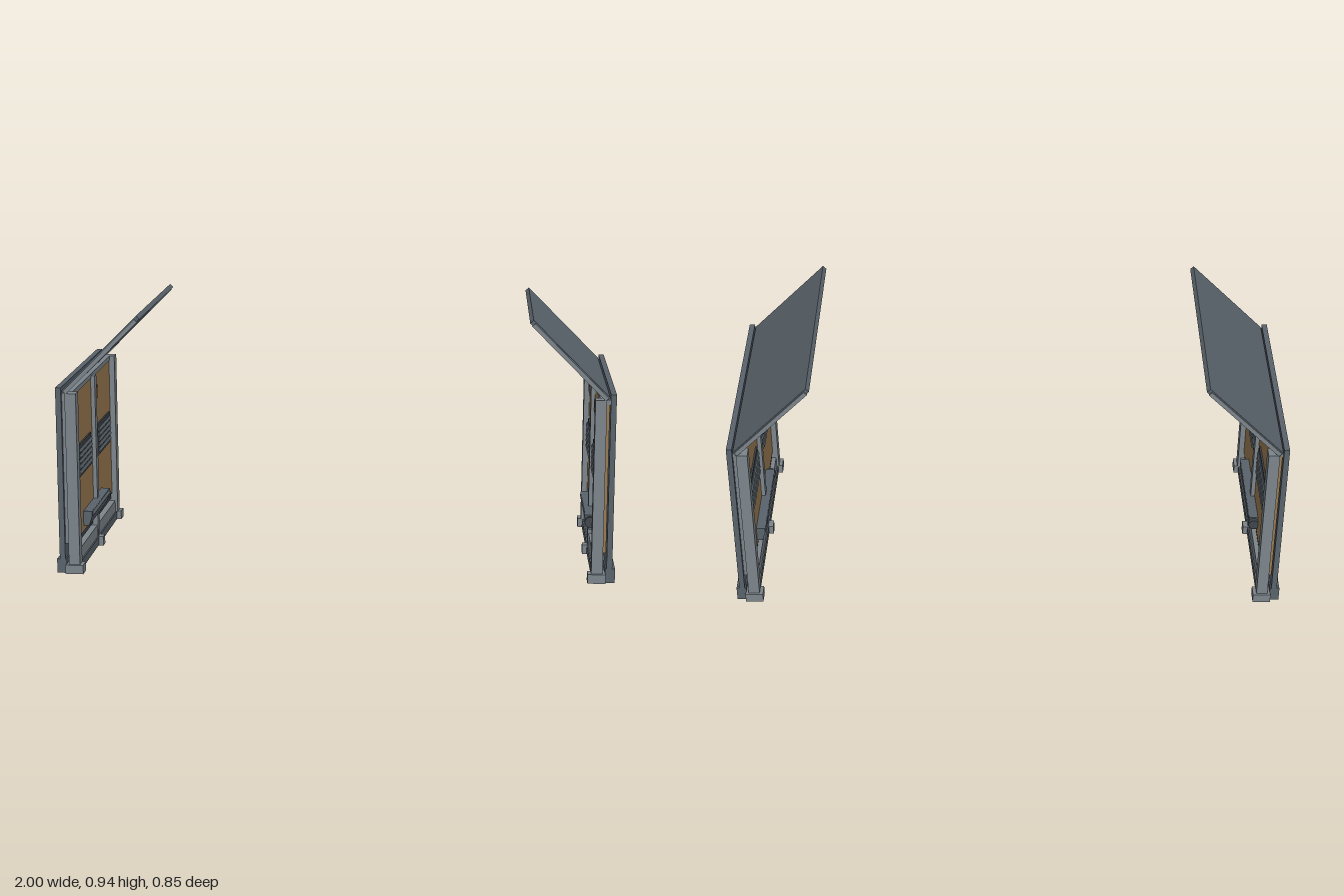
import * as THREE from 'three';

const mat = (name, color) => {
  const m = new THREE.MeshStandardMaterial({ color });
  m.name = name;
  return m;
};

export function createModel() {
  const slate = mat('slatePanel', 0x59636b);
  const steel = mat('steelFrame', 0x7c858b);
  const tan = mat('tanLining', 0x9a7a52);
  const dark = mat('darkVent', 0x3f464c);

  // Box given by its limits on each axis
  const box = (parent, name, m, [x0, x1], [y0, y1], [z0, z1]) => {
    const mesh = new THREE.Mesh(new THREE.BoxGeometry(x1 - x0, y1 - y0, z1 - z0), m);
    mesh.position.set((x0 + x1) / 2, (y0 + y1) / 2, (z0 + z1) / 2);
    mesh.name = name;
    parent.add(mesh);
    return mesh;
  };

  // One wall on the +x side, its lined face turned to -x
  function buildWall() {
    const wall = new THREE.Group();
    box(wall, 'outerPanel', slate, [0.97, 0.99], [0.05, 0.683], [-0.41, 0.41]);
    box(wall, 'baseBeam', slate, [0.965, 1], [0.003, 0.055], [-0.41, 0.41]);
    box(wall, 'lowerRail', steel, [0.925, 0.955], [0.035, 0.08], [-0.38, 0.38]);
    box(wall, 'lowerBeam', slate, [0.92, 0.965], [0.004, 0.035], [-0.38, 0.38]);
    box(wall, 'topRail', steel, [0.935, 0.97], [0.645, 0.662], [-0.4, 0.4]);
    box(wall, 'backLining', tan, [0.957, 0.967], [0.11, 0.65], [-0.385, 0.4]);
    box(wall, 'hingeStrip', steel, [0.956, 0.969], [0.11, 0.65], [-0.4, -0.385]);

    // End posts with their feet
    for (const s of [-1, 1]) {
      const span = (a, b) => (s > 0 ? [a, b] : [-b, -a]);
      box(wall, 'endPost', steel, [0.916, 0.956], [0.035, 0.663], span(0.37, 0.416));
      box(wall, 'endFoot', steel, [0.903, 0.967], [0.003, 0.036], span(0.375, 0.425));
    }
    box(wall, 'centrePost', steel, [0.922, 0.957], [0.035, 0.655], [-0.018, 0.018]);
    box(wall, 'centreFoot', steel, [0.903, 0.967], [0, 0.036], [-0.018, 0.018]);

    // Two lined bays, each with a plate and a louvred vent
    for (const c of [-0.195, 0.195]) {
      box(wall, 'liningPanel', tan, [0.937, 0.957], [0.11, 0.645], [c - 0.177, c + 0.177]);
      box(wall, 'lowerSlot', dark, [0.94, 0.956], [0.09, 0.11], [c - 0.17, c + 0.17]);
      const p = c - 0.123;
      box(wall, 'plateRim', dark, [0.933, 0.937], [0.55, 0.6], [p - 0.028, p + 0.028]);
      box(wall, 'plate', tan, [0.931, 0.936], [0.555, 0.595], [p - 0.023, p + 0.023]);
      box(wall, 'ventBack', dark, [0.931, 0.937], [0.33, 0.45], [c - 0.13, c + 0.13]);
      for (let i = 0; i < 5; i++) {
        const y = 0.35 + i * 0.02;
        const slat = box(wall, 'ventSlat', slate, [0.925, 0.934], [y - 0.006, y + 0.006], [c - 0.12, c + 0.12]);
        slat.rotation.z = -0.4;
      }
    }

    // Pull bar with a sloped lower face
    const profile = new THREE.Shape([[0.94, 0.13], [0.94, 0.185], [0.905, 0.185], [0.905, 0.165], [0.917, 0.13]]
      .map(([x, y]) => new THREE.Vector2(x, y)));
    const bar = new THREE.Mesh(new THREE.ExtrudeGeometry(profile, { depth: 0.37, bevelEnabled: false }), slate);
    bar.position.z = -0.22;
    bar.name = 'pullBar';
    wall.add(bar);
    box(wall, 'pullBarFace', steel, [0.903, 0.906], [0.166, 0.184], [-0.215, 0.145]);
    const knob = new THREE.Mesh(new THREE.CylinderGeometry(0.02, 0.02, 0.02, 16), dark);
    knob.rotation.x = Math.PI / 2;
    knob.position.set(0.922, 0.16, 0.155);
    knob.name = 'pullBarEnd';
    wall.add(knob);

    // Canopy flap leaning inward at 45 degrees
    const flap = new THREE.Group();
    flap.name = 'canopyFlap';
    flap.position.set(0.825, 0.8, 0);
    flap.rotation.z = -Math.PI / 4;
    box(flap, 'flapSheet', slate, [-0.192, 0.192], [-0.007, 0.01], [-0.41, 0.41]);
    for (const s of [-1, 1]) {
      box(flap, 'flapSideRim', steel, [-0.18, 0.188], [-0.009, 0.006], s > 0 ? [0.4, 0.415] : [-0.415, -0.4]);
    }
    wall.add(flap);
    return wall;
  }

  // The second wall is the first turned half round
  const model = new THREE.Group();
  const left = buildWall();
  left.name = 'leftWall';
  const right = buildWall();
  right.name = 'rightWall';
  right.rotation.y = Math.PI;
  model.add(left, right);
  return model;
}
